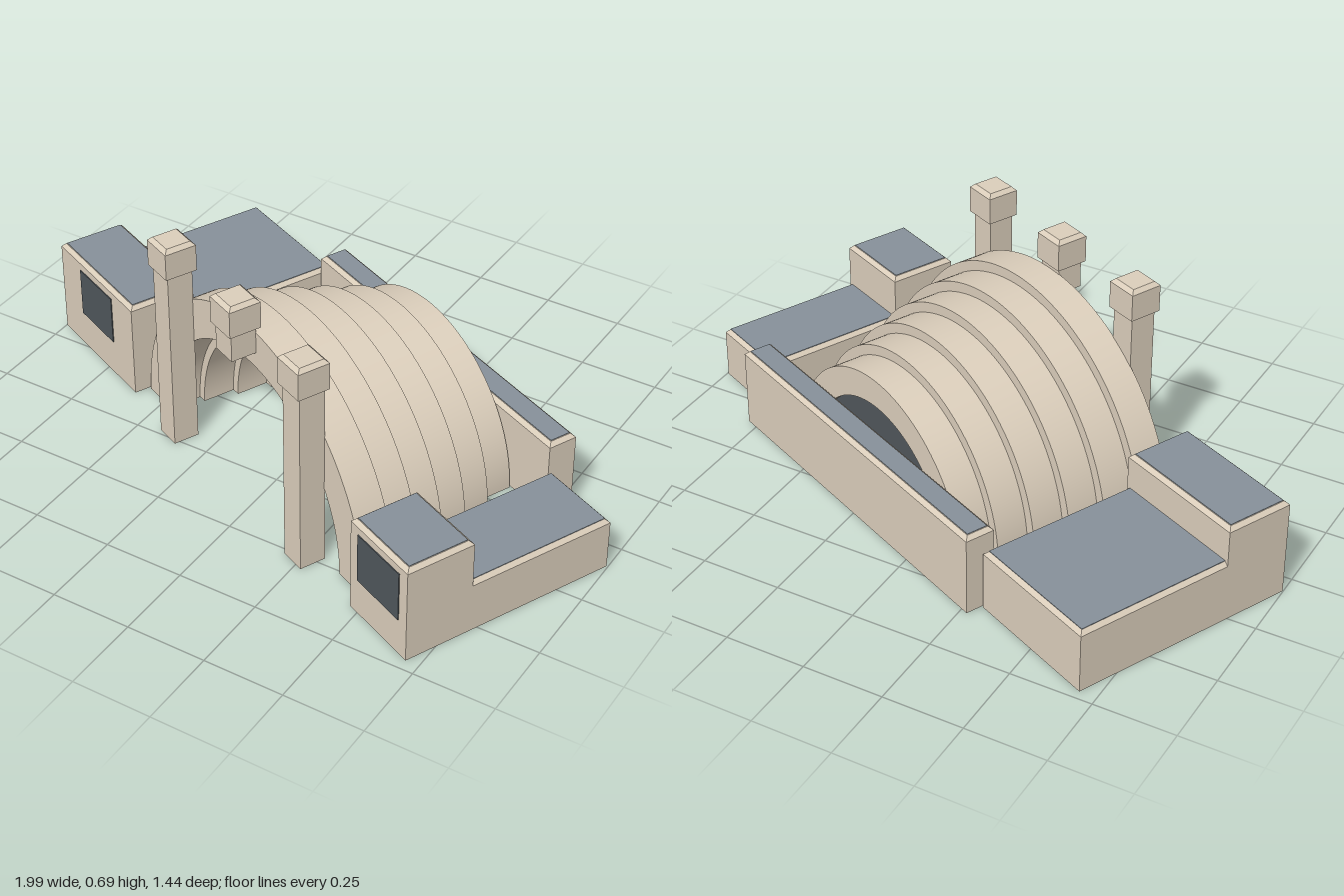
import * as THREE from 'three';
import { toCreasedNormals } from 'three/addons/utils/BufferGeometryUtils.js';

const stone = new THREE.MeshStandardMaterial({ color: 0xdccfbc, side: THREE.DoubleSide });
const roofing = new THREE.MeshStandardMaterial({ color: 0x87919a });
const dark = new THREE.MeshStandardMaterial({ color: 0x50575c, side: THREE.DoubleSide });
const BEVEL = 0.012;

function add(parent, name, geometry, material, x = 0, y = 0, z = 0) {
  const mesh = new THREE.Mesh(geometry, material);
  mesh.name = name;
  mesh.position.set(x, y, z);
  parent.add(mesh);
  return mesh;
}

// Box standing on y = 0 with chamfered top edges; hollow leaves out top and bottom
function bevelledBox(w, h, d, hollow = false) {
  const g = new THREE.BoxGeometry(w, h, d, 1, 2, 1);
  g.translate(0, h / 2, 0);
  const p = g.attributes.position;
  for (let i = 0; i < p.count; i++) {
    const y = p.getY(i);
    if (y > h * 0.9) {
      p.setX(i, p.getX(i) - Math.sign(p.getX(i)) * BEVEL);
      p.setZ(i, p.getZ(i) - Math.sign(p.getZ(i)) * BEVEL);
    } else if (y > h * 0.1) p.setY(i, h - BEVEL);
  }
  if (hollow) {
    const all = Array.from(g.index.array);
    const sides = g.groups.filter((_, i) => i !== 2 && i !== 3);
    g.setIndex(sides.flatMap(s => all.slice(s.start, s.start + s.count)));
  }
  g.clearGroups();
  const flat = g.toNonIndexed();
  flat.computeVertexNormals();
  return flat;
}

// Walls plus a roof panel, given by plan limits and height
function block(parent, name, x0, x1, z0, z1, h, hollow = false) {
  const group = new THREE.Group();
  group.name = name;
  group.position.set((x0 + x1) / 2, 0, (z0 + z1) / 2);
  const w = x1 - x0, d = z1 - z0;
  add(group, 'walls', bevelledBox(w, h, d, hollow), stone);
  const inset = 2 * BEVEL + (hollow ? 0 : 0.004);
  add(group, 'roof', new THREE.BoxGeometry(w - inset, 0.004, d - inset), roofing, 0, h, 0);
  parent.add(group);
}

// Half ring standing on the ground
function archGeometry(outer, inner, depth) {
  const s = new THREE.Shape();
  s.absarc(0, 0, outer, 0, Math.PI, false);
  s.lineTo(-inner, 0);
  s.absarc(0, 0, inner, Math.PI, 0, true);
  s.closePath();
  const g = new THREE.ExtrudeGeometry(s, { depth, bevelEnabled: false, curveSegments: 40 });
  return toCreasedNormals(g, 0.5);
}

export function createModel() {
  const model = new THREE.Group();
  model.name = 'bandshell';
  const site = new THREE.Group();
  site.name = 'building';
  site.rotation.y = THREE.MathUtils.degToRad(-24.5);
  model.add(site);
  const CX = 0.092;

  // Stepped shell of six half rings, shrinking to the back
  const rings = 6, front = 0.308, back = -0.32;
  const depth = (front - back) / rings;
  for (let i = 0; i < rings; i++) {
    const t = i / (rings - 1);
    const g = archGeometry(0.58 - 0.16 * t, 0.46 - 0.13 * t, depth);
    add(site, 'shellRing' + (i + 1), g, stone, CX, 0, front - (i + 1) * depth);
  }

  // Dark panel closing the back of the shell
  add(site, 'backPanel', new THREE.CircleGeometry(0.335, 48, 0, Math.PI), dark, CX, 0, back + 0.012);

  // Low wall behind the shell
  block(site, 'rearWall', -0.49, 0.674, -0.42, -0.326, 0.26);

  // Side wings: tall front room with window, lower room behind
  for (const [side, x0, x1, z0, low] of [
    ['right', -0.934, -0.497, -0.368, 0.2],
    ['left', 0.679, 0.942, -0.334, 0.17],
  ]) {
    const wing = new THREE.Group();
    wing.name = side + 'Wing';
    site.add(wing);
    block(wing, 'frontRoom', x0, x1, 0.14, 0.358, 0.315);
    block(wing, 'backRoom', x0, x1, z0, 0.155, low, true);
    add(wing, 'window', new THREE.BoxGeometry(0.192, 0.16, 0.006), dark, (x0 + x1) / 2, 0.2, 0.358);
  }

  // Three capped pillars; the middle one rests on the front ring
  [-1, 0, 1].forEach((k, i) => {
    const pillar = new THREE.Group();
    pillar.name = 'pillar' + (i + 1);
    pillar.position.set(CX + k * 0.343, 0, 0.347);
    const base = k === 0 ? 0.51 : 0;
    const h = 0.6 - base;
    add(pillar, 'shaft', new THREE.BoxGeometry(0.082, h, 0.082), stone, 0, base + h / 2, 0);
    add(pillar, 'cap', bevelledBox(0.102, 0.097, 0.102), stone, 0, 0.598, 0);
    site.add(pillar);
  });

  return model;
}
